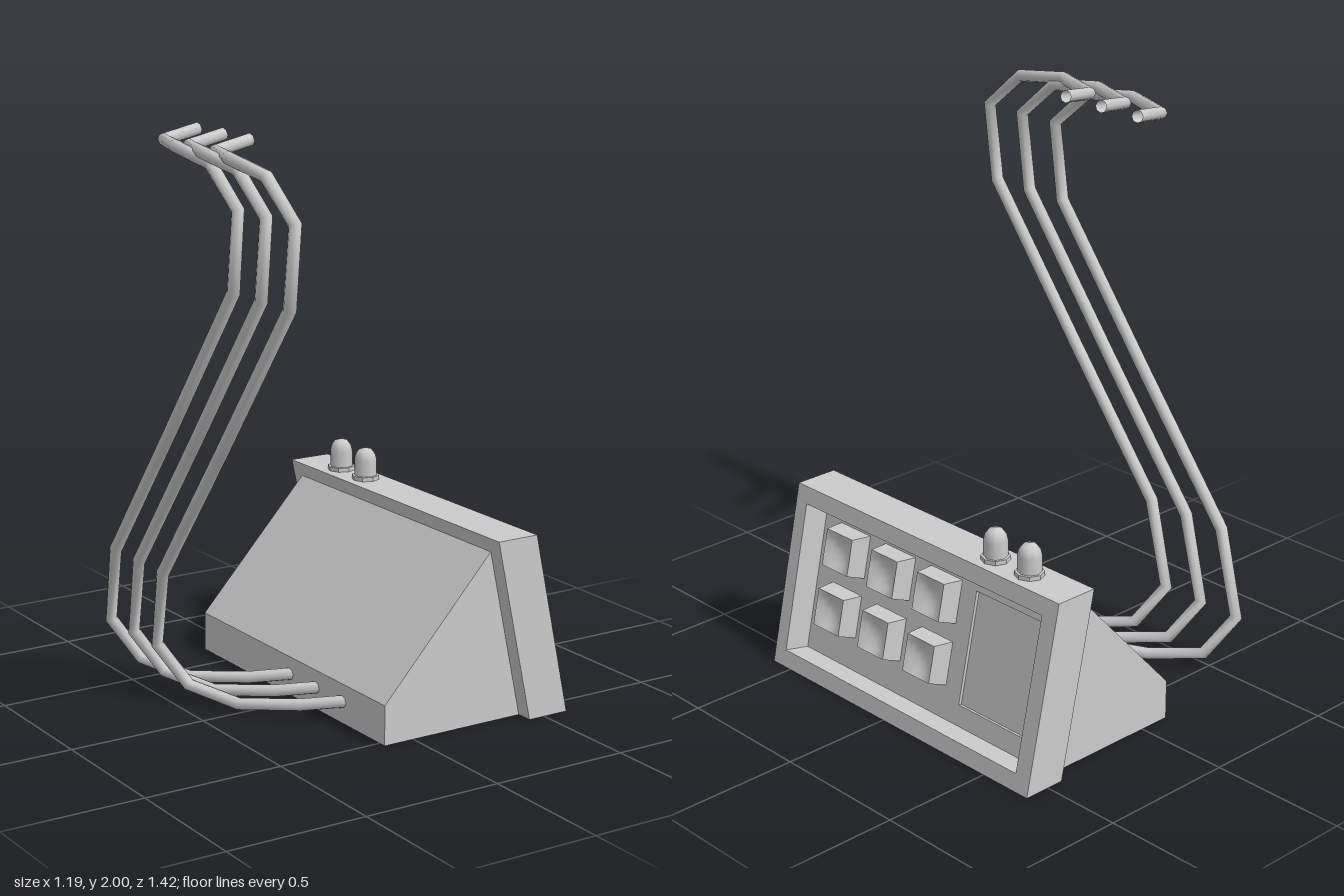
import * as THREE from 'three';

const grey = new THREE.MeshStandardMaterial({ color: 0xcccccc });
const flat = new THREE.MeshStandardMaterial({ color: 0xcccccc, flatShading: true });
const thin = new THREE.MeshStandardMaterial({ color: 0xcccccc, side: THREE.DoubleSide });

function add(parent, name, geometry, material = grey) {
  const mesh = new THREE.Mesh(geometry, material);
  mesh.name = name;
  parent.add(mesh);
  return mesh;
}

const TILT = Math.atan(0.14 / 0.65);
const SLOPE = 0.65 / Math.cos(TILT); // height of the panel along its slope

// Rectangle path from left, right, bottom, top
function rect(Type, l, r, b, t) {
  const p = new Type();
  p.moveTo(l, b);
  p.lineTo(r, b);
  p.lineTo(r, t);
  p.lineTo(l, t);
  p.closePath();
  return p;
}

// Layer of the tilted panel; its outer top and bottom are sheared to stay level
function panelLayer(back, front, hole) {
  const shape = rect(THREE.Shape, -0.59, 0.705, 0, SLOPE);
  if (hole) shape.holes.push(rect(THREE.Path, ...hole));
  const g = new THREE.ExtrudeGeometry(shape, { depth: front - back, bevelEnabled: false });
  g.translate(0, 0, back);
  const p = g.attributes.position;
  for (let i = 0; i < p.count; i++) {
    const v = p.getY(i);
    if (v < 1e-4 || v > SLOPE - 1e-4) p.setY(i, v - p.getZ(i) * Math.tan(TILT));
  }
  g.computeVertexNormals();
  return g;
}

// Tapered key with a dished top
function keyGeometry(size, height) {
  const g = new THREE.BoxGeometry(size, size, height, 6, 6, 1);
  const p = g.attributes.position;
  for (let i = 0; i < p.count; i++) {
    if (p.getZ(i) < 0) continue;
    const x = p.getX(i), y = p.getY(i);
    const a = (2 * x) / size, b = (2 * y) / size;
    const sink = 0.03 * (1 - a * a) * (1 - b * b);
    p.setXYZ(i, x * 0.86, y * 0.86, height / 2 - sink);
  }
  g.translate(0, 0, height / 2);
  g.computeVertexNormals();
  return g;
}

// Path that keeps its corners: one tube ring at every point
class CornerPath extends THREE.Curve {
  constructor(points) {
    super();
    this.points = points;
  }
  getPoint(t, target = new THREE.Vector3()) {
    const n = this.points.length - 1;
    const i = Math.min(n - 1, Math.floor(t * n + 1e-6));
    return target.lerpVectors(this.points[i], this.points[i + 1], t * n - i);
  }
  getPointAt(u, target) {
    return this.getPoint(u, target);
  }
  getTangentAt(u, target = new THREE.Vector3()) {
    const n = this.points.length - 1, i = Math.round(u * n);
    const here = this.points[i], d = new THREE.Vector3();
    target.set(0, 0, 0);
    if (i > 0) target.add(d.subVectors(here, this.points[i - 1]).normalize());
    if (i < n) target.add(d.subVectors(this.points[i + 1], here).normalize());
    return target.normalize();
  }
}

export function createModel() {
  const model = new THREE.Group();
  model.name = 'controlBox';

  // Wedge-shaped housing behind the panel
  const side = new THREE.Shape([
    [-0.115, 0], [0.437, 0], [0.308, 0.6], [-0.115, 0.14],
  ].map(([x, y]) => new THREE.Vector2(x, y)));
  const housing = new THREE.ExtrudeGeometry(side, { depth: 1.18, bevelEnabled: false });
  add(model, 'housing', housing.translate(0, 0, -0.65));

  // Tilted panel: local y runs up the slope, local z points out of the face
  const panel = new THREE.Group();
  panel.name = 'panel';
  panel.position.set(0.595, 0, 0);
  const s = Math.sin(TILT), c = Math.cos(TILT);
  panel.quaternion.setFromRotationMatrix(new THREE.Matrix4().makeBasis(
    new THREE.Vector3(0, 0, -1), new THREE.Vector3(-s, c, 0), new THREE.Vector3(c, s, 0)));
  model.add(panel);
  add(panel, 'panelFrame', panelLayer(-0.1, 0, [-0.535, 0.64, 0.061, 0.604]));
  add(panel, 'screenSurround', panelLayer(-0.112, -0.1, [0.245, 0.575, 0.134, 0.538]));
  add(panel, 'panelBack', panelLayer(-0.154, -0.112));

  // Two rows of three keys
  const key = keyGeometry(0.155, 0.073);
  for (const v of [0.475, 0.255]) {
    for (const u of [-0.375, -0.14, 0.095]) {
      add(panel, 'key', key).position.set(u, v, -0.1);
    }
  }

  // Lamps on the top edge
  const dome = new THREE.LatheGeometry([
    [0.041, 0], [0.041, 0.072], [0.036, 0.093], [0.024, 0.109], [0, 0.116],
  ].map(([r, y]) => new THREE.Vector2(r, y)), 8);
  const collar = new THREE.CylinderGeometry(0.05, 0.05, 0.015, 8);
  for (const z of [-0.33, -0.49]) {
    const lamp = new THREE.Group();
    lamp.name = 'lamp';
    lamp.position.set(0.377, 0.65, z);
    add(lamp, 'lampDome', dome);
    add(lamp, 'lampCollar', collar, flat).position.y = 0.0075;
    model.add(lamp);
  }

  // Three parallel cables rising from the back
  const route = [
    [-0.1, 0.078, 0.28], [-0.225, 0.06, 0.185], [-0.36, 0.035, 0.005],
    [-0.455, 0.07, -0.175], [-0.535, 0.21, -0.25], [-0.573, 0.5, -0.135],
    [-0.56, 1.0, 0.245], [-0.547, 1.53, 0.64], [-0.558, 1.8, 0.69],
    [-0.57, 1.93, 0.545], [-0.575, 1.962, 0.33], [-0.51, 1.957, 0.14],
    [-0.365, 1.98, 0.11],
  ].map((p) => new THREE.Vector3(...p));
  const cable = new THREE.TubeGeometry(new CornerPath(route), route.length - 1, 0.022, 8);
  for (let i = 0; i < 3; i++) {
    add(model, 'cable', cable, thin).position.z = -0.1675 * i;
  }

  return model;
}
